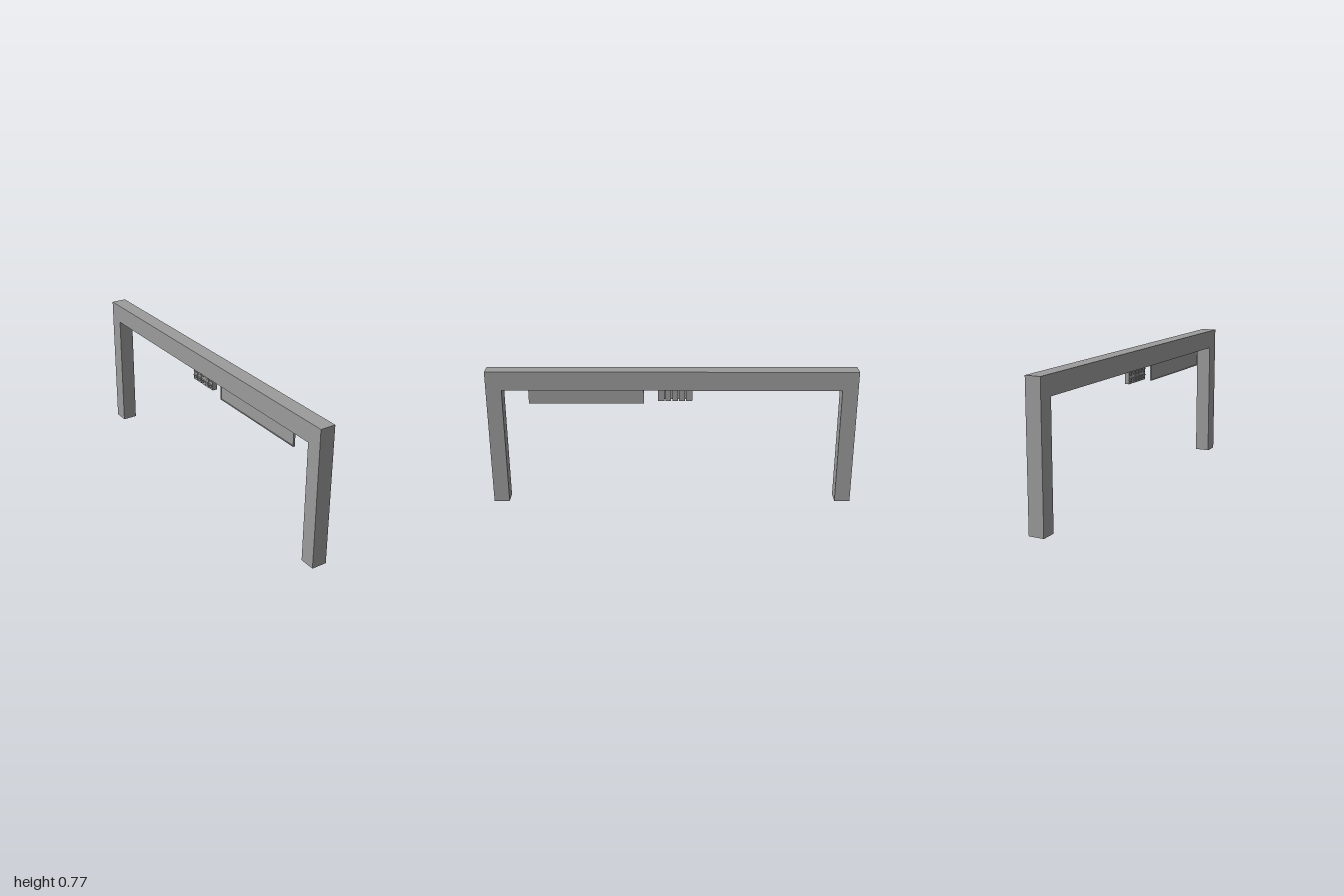
import * as THREE from 'three';

const material = new THREE.MeshStandardMaterial({ color: 0x9b9b9b, flatShading: true, side: THREE.DoubleSide });

function addMesh(parent, name, geometry, x = 0, y = 0, z = 0) {
  const mesh = new THREE.Mesh(geometry, material);
  mesh.name = name;
  mesh.position.set(x, y, z);
  parent.add(mesh);
  return mesh;
}

// Box given by its limits on each axis
function addBox(parent, name, [x0, x1], [y0, y1], [z0, z1]) {
  return addMesh(parent, name, new THREE.BoxGeometry(x1 - x0, y1 - y0, z1 - z0),
    (x0 + x1) / 2, (y0 + y1) / 2, (z0 + z1) / 2);
}

const underside = 0.663;

// Hollow portal: two side panels joined by a band, feet left open
function createPortal() {
  const half = 0.042, top = 0.768, inner = 0.915;
  const outline = [[1, 0], [1, top], [-1, top], [-1, 0], [-inner, 0], [-inner, underside], [inner, underside], [inner, 0]];
  const portal = new THREE.Group();
  portal.name = 'portalFrame';

  // The outline is symmetric, so each panel is a quarter turn either way
  const shape = new THREE.Shape(outline.map(([z, y]) => new THREE.Vector2(z, y)));
  for (const side of [-1, 1]) {
    const panel = new THREE.ShapeGeometry(shape).rotateY(side * Math.PI / 2);
    addMesh(portal, side > 0 ? 'leftPanel' : 'rightPanel', panel, side * half);
  }

  const corners = [];
  outline.forEach(([z0, y0], i) => {
    const [z1, y1] = outline[(i + 1) % outline.length];
    if (y0 === 0 && y1 === 0) return;
    const a = [-half, y0, z0], b = [half, y0, z0], c = [half, y1, z1], d = [-half, y1, z1];
    corners.push(...a, ...b, ...c, ...a, ...c, ...d);
  });
  const band = new THREE.BufferGeometry();
  band.setAttribute('position', new THREE.Float32BufferAttribute(corners, 3));
  band.computeVertexNormals();
  addMesh(portal, 'frameBand', band);
  return portal;
}

// Hanging sign with a thin raised rim on its face
function createSign() {
  const sign = new THREE.Group();
  sign.name = 'signBoard';
  const y = [0.57, underside], z = [0.153, 0.779], rim = 0.005, depth = [-0.02, -0.017];
  addBox(sign, 'signPanel', [-0.017, -0.009], y, z);
  addBox(sign, 'bottomRim', depth, [y[0], y[0] + rim], z);
  addBox(sign, 'topRim', depth, [y[1] - rim, y[1]], z);
  addBox(sign, 'backRim', depth, [y[0] + rim, y[1] - rim], [z[0], z[0] + rim]);
  addBox(sign, 'frontRim', depth, [y[0] + rim, y[1] - rim], [z[1] - rim, z[1]]);
  return sign;
}

// Row of separate signal housings, each with two lamps under flat visors
function createSignals() {
  const signals = new THREE.Group();
  signals.name = 'signalCluster';
  const count = 5, start = -0.11, length = 0.185, pitch = length / count, gap = 0.003;
  const lens = new THREE.CylinderGeometry(0.009, 0.009, 0.004, 8).rotateZ(Math.PI / 2);

  addBox(signals, 'mountingPlate', [-0.016, -0.01], [0.595, underside], [start + gap, start + length - gap]);
  for (let i = 0; i < count; i++) {
    const z = start + pitch * i, middle = z + pitch / 2;
    addBox(signals, 'signalHousing', [-0.018, 0.008], [0.59, underside],
      [z + (i ? gap : 0), z + pitch - (i < count - 1 ? gap : 0)]);
    for (const y of [0.608, 0.643]) {
      addBox(signals, 'lampVisor', [-0.027, -0.018], [y + 0.009, y + 0.012], [middle - 0.011, middle + 0.011]);
      addMesh(signals, 'lampLens', lens, -0.02, y, middle);
    }
  }
  return signals;
}

export function createModel() {
  const model = new THREE.Group();
  model.name = 'overheadGantry';
  model.add(createPortal(), createSign(), createSignals());
  return model;
}
